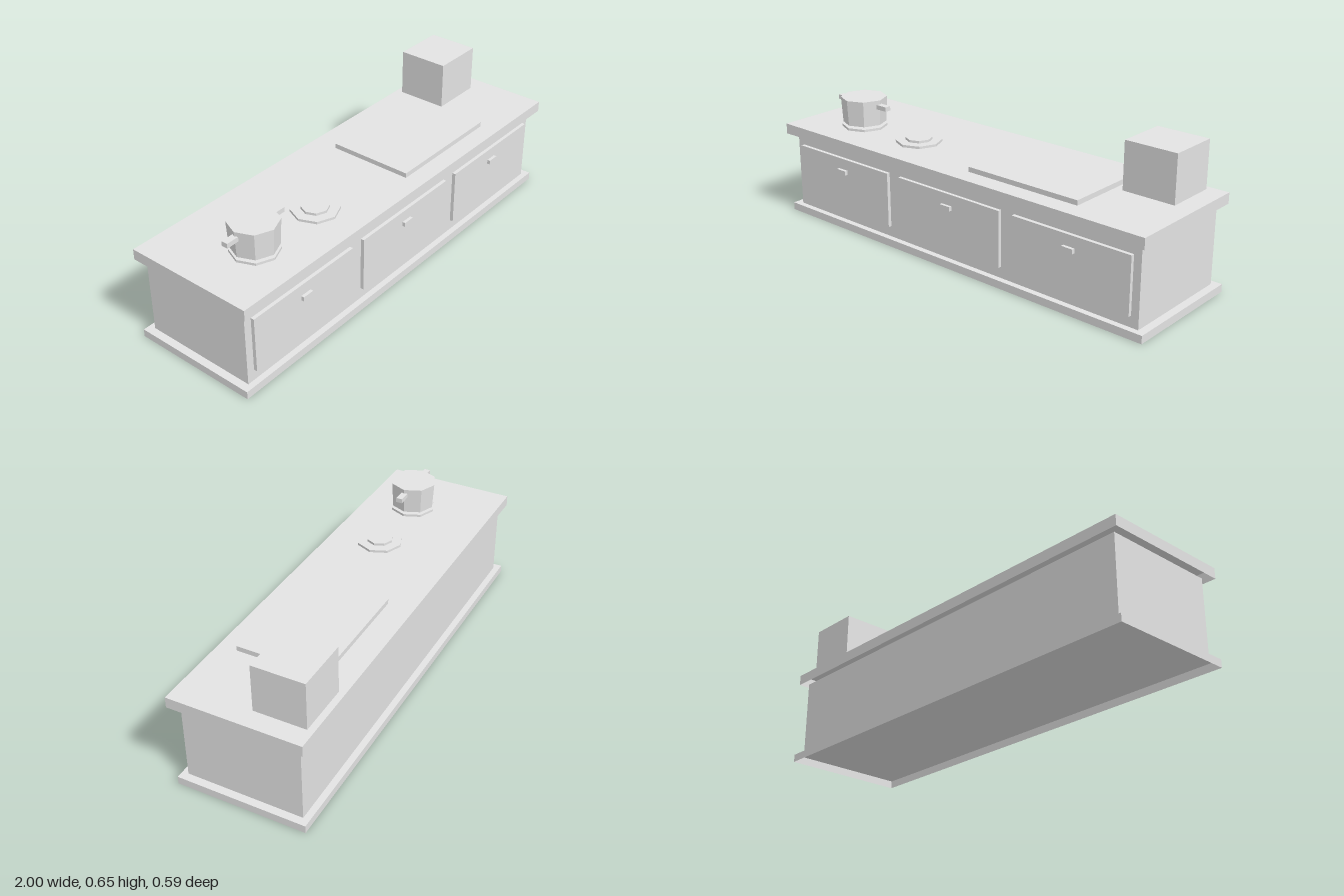
import * as THREE from 'three';

// Side numbers of a box, in the order BoxGeometry lists them
const BOTTOM = 3, BACK = 5;

export function createModel() {
  const model = new THREE.Group();
  model.name = 'kitchenCounter';
  const grey = new THREE.MeshStandardMaterial({ color: 0xe3e3e3, side: THREE.DoubleSide });
  grey.name = 'light grey';

  const add = (name, geometry, x, y, z) => {
    const mesh = new THREE.Mesh(geometry, grey);
    mesh.name = name;
    mesh.position.set(x, y, z);
    model.add(mesh);
  };
  // Box given by its lowest and highest corners, left open on one side
  const openBox = (name, open, x0, x1, y0, y1, z0, z1) => {
    const geometry = new THREE.BoxGeometry(x1 - x0, y1 - y0, z1 - z0);
    const index = Array.from(geometry.index.array);
    index.splice(open * 6, 6);
    geometry.setIndex(index);
    geometry.clearGroups();
    add(name, geometry, (x0 + x1) / 2, (y0 + y1) / 2, (z0 + z1) / 2);
  };
  // Eight-sided faceted drum
  const drum = (name, x, z, y0, y1, rTop, rBottom) => {
    const geometry = new THREE.CylinderGeometry(rTop, rBottom, y1 - y0, 8).toNonIndexed();
    geometry.computeVertexNormals();
    add(name, geometry, x, (y0 + y1) / 2, z);
  };

  // Cabinet: hollow shells, open underneath
  openBox('plinth', BOTTOM, -1, 1, 0, 0.035, -0.295, 0.282);
  openBox('cabinetBody', BOTTOM, -0.965, 0.965, 0.035, 0.388, -0.266, 0.255);
  openBox('worktop', BOTTOM, -1, 1, 0.388, 0.436, -0.295, 0.296);

  // Drawer fronts with pulls
  for (const x of [-0.643, 0, 0.643]) {
    openBox('drawerFront', BACK, x - 0.287, x + 0.287, 0.085, 0.338, 0.255, 0.271);
    openBox('drawerPull', BACK, x - 0.027, x + 0.027, 0.268, 0.288, 0.271, 0.285);
  }

  // Burners
  const potX = -0.705, burnerZ = 0.071;
  for (const x of [potX, -0.353]) {
    drum('burnerBase', x, burnerZ, 0.436, 0.447, 0.104, 0.104);
    drum('burnerPlate', x, burnerZ, 0.447, 0.458, 0.06, 0.06);
  }

  // Pot with two side handles
  drum('pot', potX, burnerZ, 0.458, 0.577, 0.106, 0.099);
  for (const side of [-1, 1]) {
    add('potHandle', new THREE.BoxGeometry(0.062, 0.021, 0.029),
      potX + side * 0.126, 0.547, burnerZ);
  }

  // Cutting board and storage box
  openBox('cuttingBoard', BOTTOM, 0.07, 0.633, 0.436, 0.458, -0.178, 0.211);
  openBox('storageBox', BOTTOM, 0.671, 0.913, 0.436, 0.648, -0.266, -0.035);

  return model;
}
